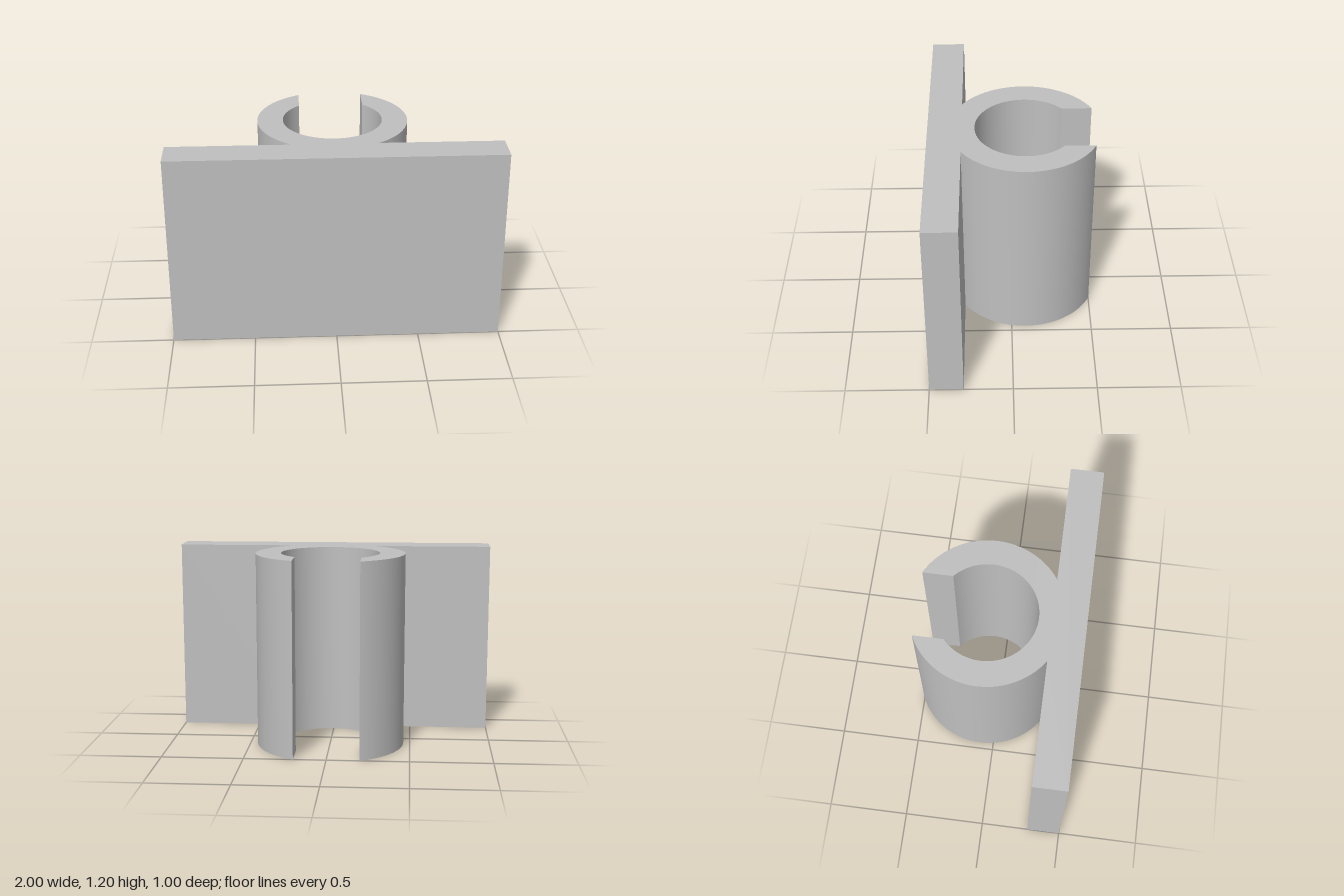
import * as THREE from 'three';
import { toCreasedNormals } from 'three/addons/utils/BufferGeometryUtils.js';

export function createModel() {
  const model = new THREE.Group();
  const grey = new THREE.MeshStandardMaterial({ color: 0xbfbfbf });
  grey.name = 'grey';

  const height = 1.2;
  const outer = 0.46, inner = 0.304; // clip radii
  const cy = 0.087;                  // clip centre (shape y is -z)
  const gap = 0.2;                   // half width of the slot
  const back = -0.295, front = -0.5; // plate faces

  // Angles where the clip meets the slot and the plate
  const slotOuter = Math.acos(gap / outer);
  const slotInner = Math.acos(gap / inner);
  const foot = Math.asin((back - cy) / outer);

  // Plate and slotted clip as one outline
  const outline = new THREE.Shape();
  outline.moveTo(-1, front);
  outline.lineTo(1, front);
  outline.lineTo(1, back);
  outline.absarc(0, cy, outer, foot, slotOuter, false);
  outline.absarc(0, cy, inner, slotInner, Math.PI - slotInner, true);
  outline.absarc(0, cy, outer, Math.PI - slotOuter, Math.PI - foot, false);
  outline.lineTo(-1, back);
  outline.closePath();

  const extruded = new THREE.ExtrudeGeometry(outline, {
    depth: height, bevelEnabled: false, curveSegments: 64,
  });
  extruded.rotateX(-Math.PI / 2);

  const bracket = new THREE.Mesh(toCreasedNormals(extruded, 0.5), grey);
  bracket.name = 'slottedClipBracket';
  model.add(bracket);
  return model;
}
